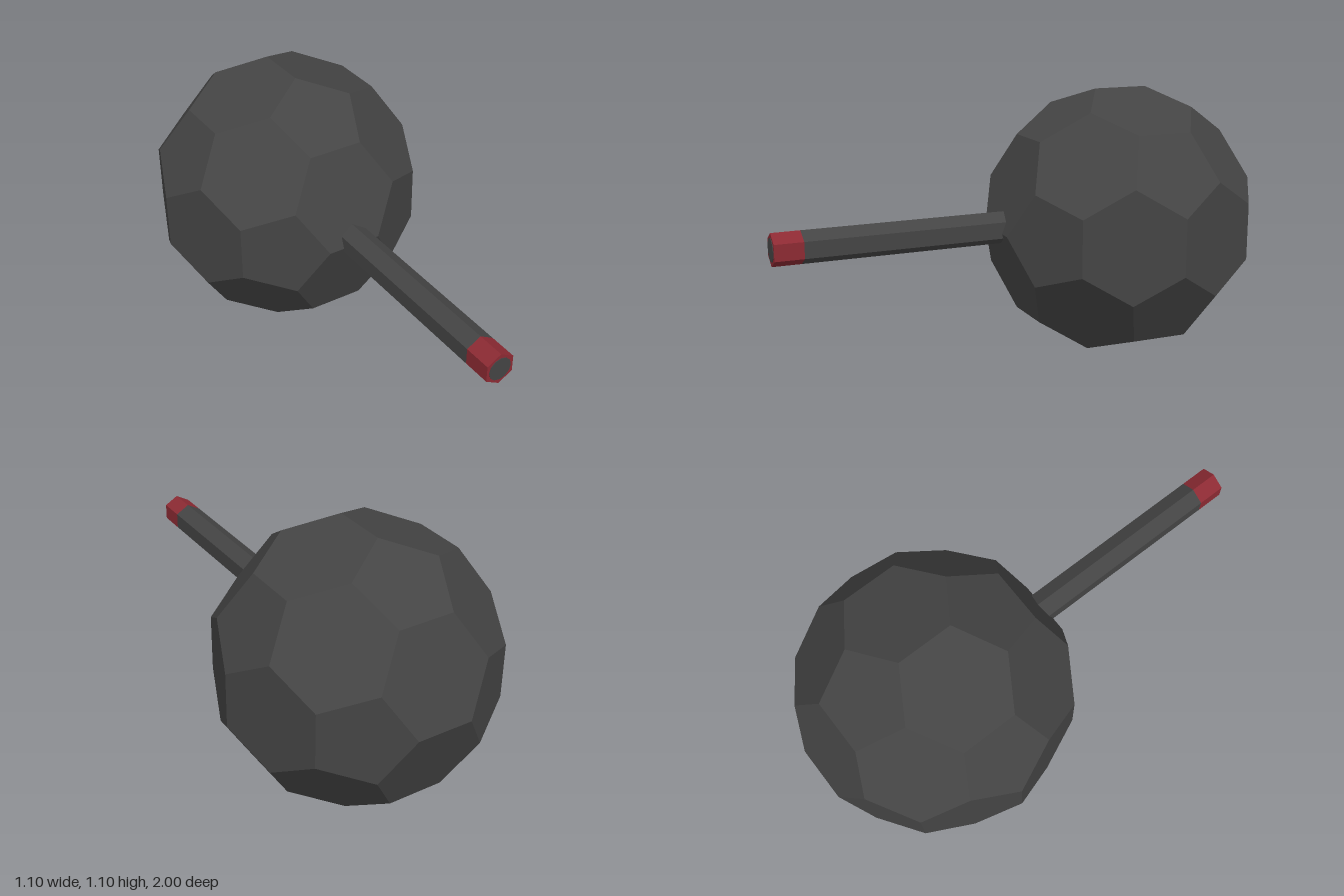
import * as THREE from 'three';
import { ConvexGeometry } from 'three/addons/geometries/ConvexGeometry.js';

// Faceted prism along z, from z0 to z1
function prism(radius, sides, z0, z1) {
  const g = new THREE.CylinderGeometry(radius, radius, z1 - z0, sides)
    .rotateX(Math.PI / 2)
    .translate(0.007, 0.565, (z0 + z1) / 2)
    .toNonIndexed();
  g.computeVertexNormals();
  return g;
}

// Truncated icosahedron: cyclic shifts and sign changes of three base corners
function ballGeometry(halfSize) {
  const p = (1 + Math.sqrt(5)) / 2;
  const s = halfSize / (3 * p);
  const points = [];
  for (const c of [[1, 0, 3 * p], [2 + p, 1, 2 * p], [2, p, 2 * p + 1]]) {
    for (let shift = 0; shift < 3; shift++) {
      const [x, y, z] = [0, 1, 2].map((i) => c[(i + shift) % 3] * s);
      for (const sx of x ? [-1, 1] : [1])
        for (const sy of y ? [-1, 1] : [1])
          for (const sz of z ? [-1, 1] : [1])
            points.push(new THREE.Vector3(x * sx, y * sy, z * sz));
    }
  }
  return new ConvexGeometry(points);
}

export function createModel() {
  const model = new THREE.Group();
  const grey = new THREE.MeshStandardMaterial({ color: 0x444444 });
  grey.name = 'dark grey';
  const red = new THREE.MeshStandardMaterial({ color: 0x8c2a33 });
  red.name = 'dark red';

  const add = (name, geometry, material) => {
    const mesh = new THREE.Mesh(geometry, material);
    mesh.name = name;
    model.add(mesh);
    return mesh;
  };

  // Ball body
  add('ball', ballGeometry(0.549), grey).position.set(0, 0.55, -0.451);

  // Six-sided rod with a red tip and a grey disc on its end
  add('rod', prism(0.065, 6, 0, 0.885), grey);
  add('rodTip', prism(0.065, 6, 0.885, 0.998), red);
  add('tipDisc', prism(0.047, 12, 0.995, 1), grey);

  return model;
}
